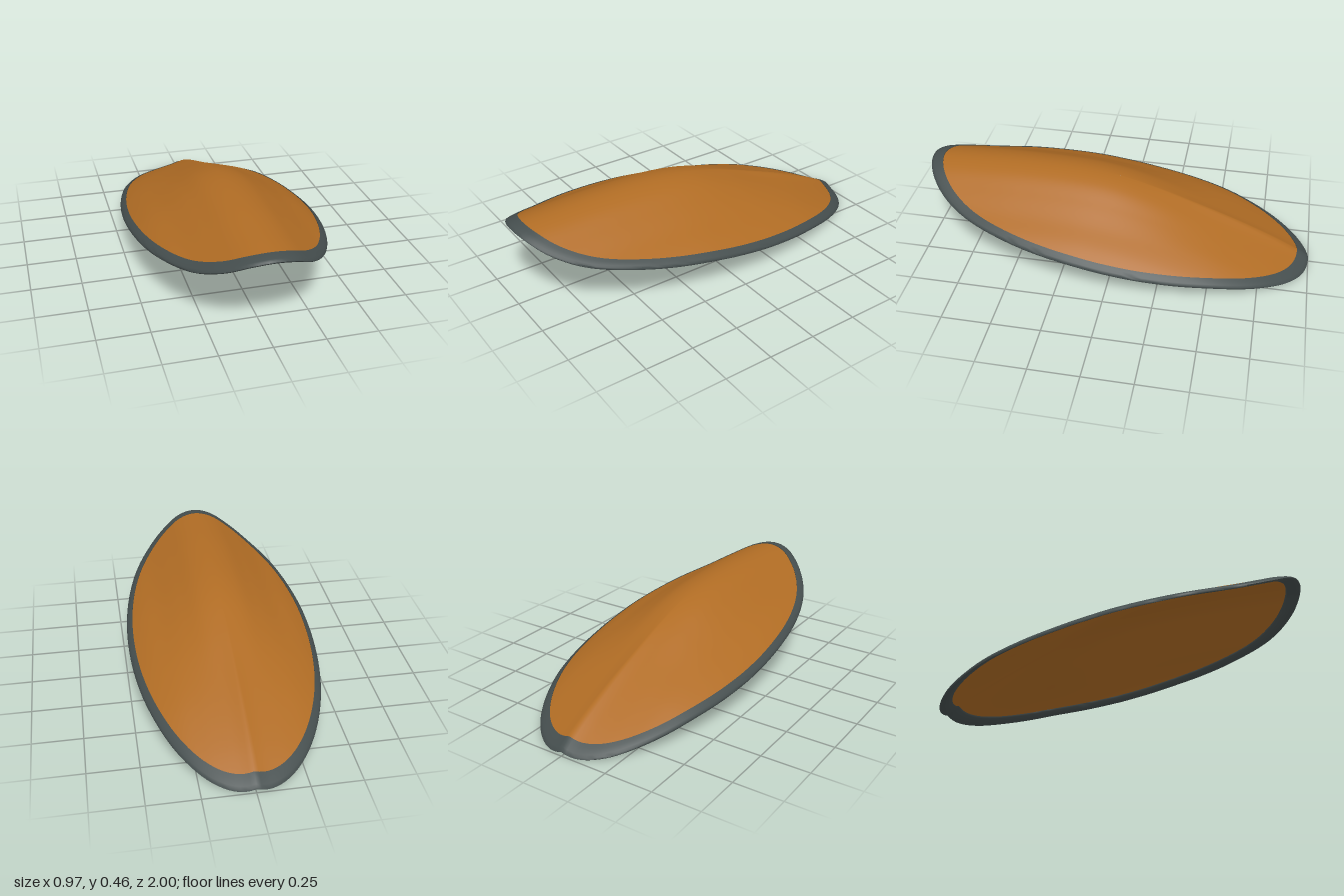
import * as THREE from 'three';
import { toCreasedNormals } from 'three/addons/utils/BufferGeometryUtils.js';

const HALF_WIDTH = 0.486, SEGMENTS = 128;

// Smooth curve through [x, y] knots
function spline(knots) {
  const slope = (i) => {
    const a = knots[Math.max(i - 1, 0)], b = knots[Math.min(i + 1, knots.length - 1)];
    return (b[1] - a[1]) / (b[0] - a[0]);
  };
  return (x) => {
    let i = 0;
    while (i < knots.length - 2 && x > knots[i + 1][0]) i++;
    const [x0, y0] = knots[i], [x1, y1] = knots[i + 1];
    const h = x1 - x0, t = (x - x0) / h, u = 1 - t;
    return y0 * (1 + 2 * t) * u * u + slope(i) * h * t * u * u
      + y1 * t * t * (3 - 2 * t) - slope(i + 1) * h * t * t * u;
  };
}

// Height along the centre line, back to front
const ridge = spline([[-1, 0.035], [-0.93, 0.075], [-0.8, 0.14], [-0.6, 0.225], [-0.4, 0.3],
  [-0.2, 0.37], [0, 0.425], [0.2, 0.452], [0.5, 0.46], [0.8, 0.452], [1, 0.443]]);
// Fall to the sides: rounded in front, creased at the back
const frontDrop = spline([[-0.1, 0.02], [0, 0], [0.1, 0.02], [0.2, 0.075], [0.3, 0.135], [0.4, 0.187], [0.49, 0.245]]);
const backDrop = spline([[0, 0], [0.05, 0.017], [0.1, 0.03], [0.2, 0.055], [0.3, 0.085], [0.4, 0.13], [0.49, 0.185]]);

function height(x, z) {
  const t = THREE.MathUtils.smoothstep(z, -0.6, 0.1);
  return ridge(z) - THREE.MathUtils.lerp(backDrop(Math.abs(x)), frontDrop(Math.abs(x)), t);
}

// Elliptical rings, each [scale, offset from the curved surface], joined in order
function ringSurface(rings) {
  const positions = [], index = [];
  rings.forEach(([s, dy], r) => {
    for (let i = 0; i < SEGMENTS; i++) {
      const a = (i / SEGMENTS) * Math.PI * 2;
      const x = HALF_WIDTH * s * Math.sin(a), z = s * Math.cos(a);
      positions.push(x, height(x, z) + dy, z);
      if (r === 0) continue;
      const j = (i + 1) % SEGMENTS, p = (r - 1) * SEGMENTS, q = r * SEGMENTS;
      index.push(p + i, q + i, q + j, p + i, q + j, p + j);
    }
  });
  const geometry = new THREE.BufferGeometry();
  geometry.setAttribute('position', new THREE.Float32BufferAttribute(positions, 3));
  geometry.setIndex(index);
  geometry.computeVertexNormals();
  return geometry;
}

export function createModel() {
  const group = new THREE.Group();
  group.name = 'curvedShell';
  const amber = new THREE.MeshStandardMaterial({ color: 0xb06c24 });
  amber.name = 'amber';
  const slate = new THREE.MeshStandardMaterial({ color: 0x454e4e });
  slate.name = 'slate grey';

  const add = (name, geometry, material) => {
    const mesh = new THREE.Mesh(geometry, material);
    mesh.name = name;
    group.add(mesh);
    return mesh;
  };

  // Domed panel: upper skin and hollow underside
  const steps = Array.from({ length: 33 }, (_, i) => 0.001 + (i / 32) * 0.944);
  add('upperPanel', ringSurface(steps.map((s) => [s, 0])), amber);
  add('undersidePanel', ringSurface(steps.map((s) => [s, -0.012]).reverse()), amber);

  // Rim band wrapped around the panel edge
  const section = [[0.937, -0.006], [0.937, 0.004], [0.96, 0.003], [0.985, 0], [0.997, -0.004], [1, -0.01],
    [0.994, -0.018], [0.97, -0.02], [0.93, -0.02], [0.925, -0.012], [0.937, -0.006]];
  const rim = add('rim', toCreasedNormals(ringSurface(section), 0.9), slate);

  // Rest the lowest edge on the ground
  rim.geometry.computeBoundingBox();
  const lowest = rim.geometry.boundingBox.min.y;
  group.children.forEach((mesh) => mesh.geometry.translate(0, -lowest, 0));
  return group;
}
